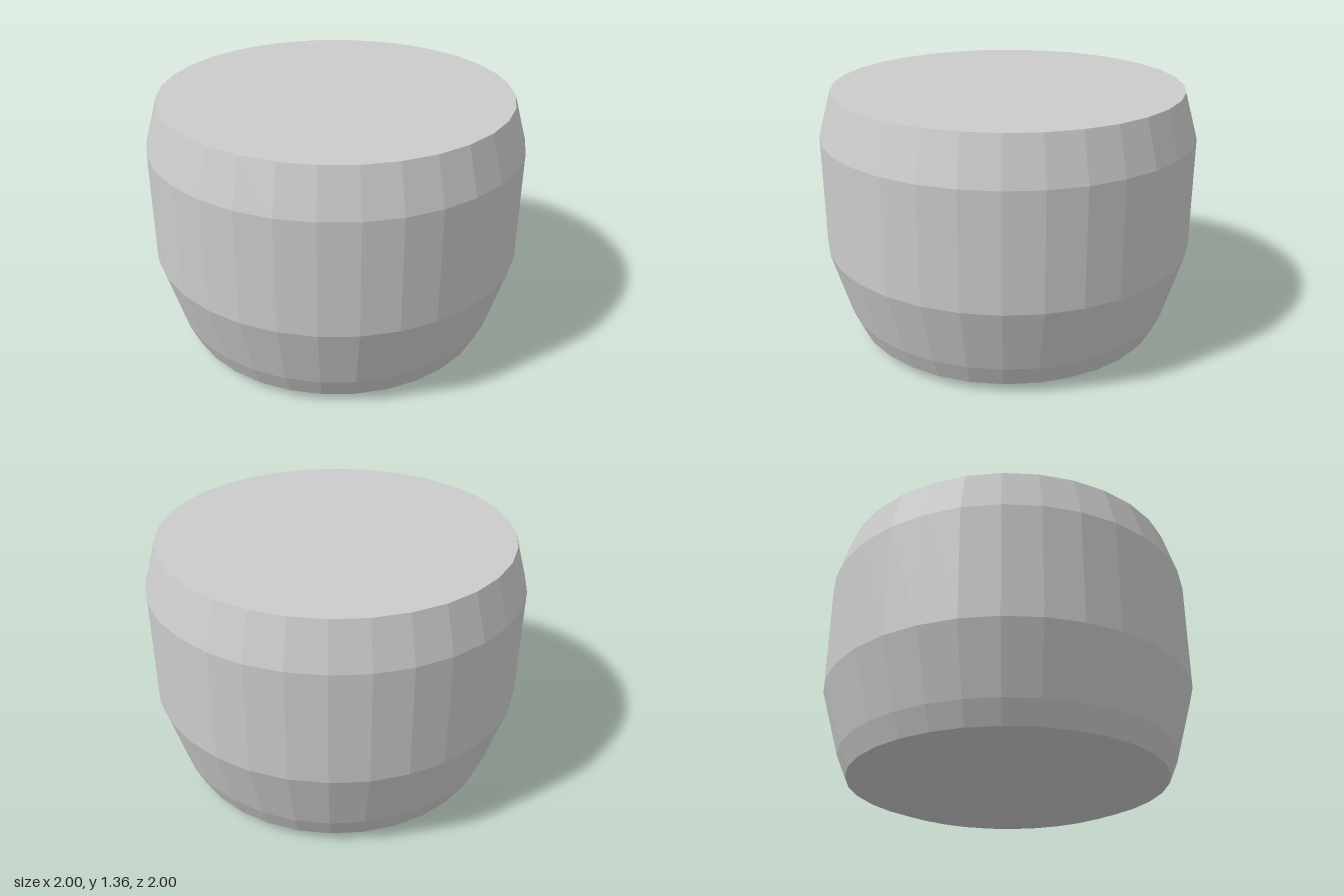
import * as THREE from 'three';

export function createModel() {
  const group = new THREE.Group();
  group.name = 'barrelPot';

  const material = new THREE.MeshStandardMaterial({ color: 0xcccccc, flatShading: true });
  const sides = 32;

  // Closed profile, [radius, height] from the base centre up to the lid centre
  const profile = [
    [0, 0],
    [0.71, 0],
    [0.85, 0.05],
    [0.9, 0.165],
    [1, 0.515],
    [1, 1.12],
    [0.93, 1.36],
    [0, 1.36],
  ].map(([r, y]) => new THREE.Vector2(r, y));

  // Faceted barrel-shaped body with flat base and top
  const body = new THREE.Mesh(new THREE.LatheGeometry(profile, sides), material);
  body.name = 'body';
  group.add(body);

  return group;
}
